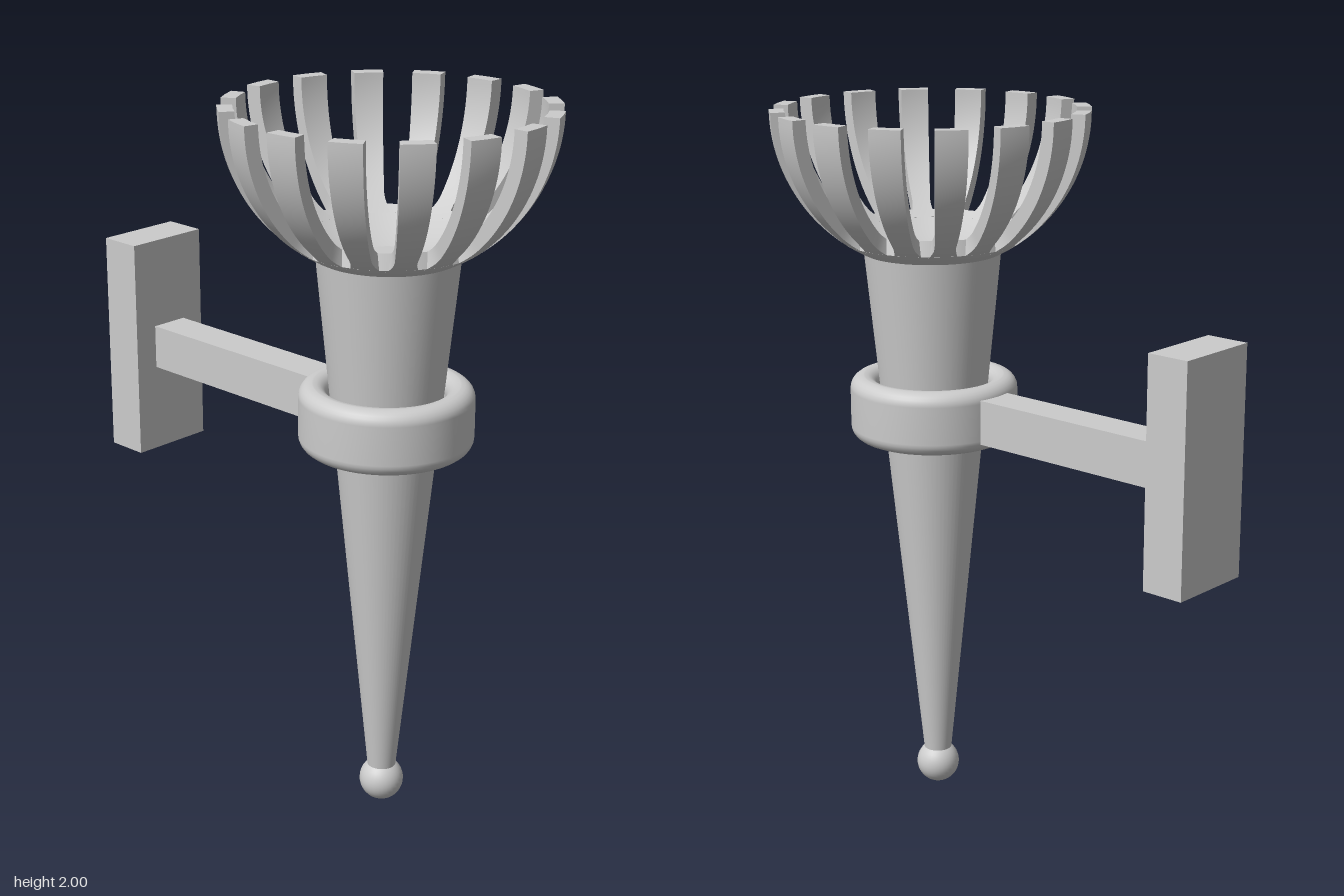
import * as THREE from 'three';

const material = new THREE.MeshStandardMaterial({ color: 0xcccccc });
const AXIS_Z = 0.27;               // the torch stands in front of its wall plate
const OUTER = 0.437, INNER = 0.397; // radii of the hemispherical basket shell
const RIBS = 16;

function add(parent, name, geometry, x = 0, y = 0, z = 0) {
  const mesh = new THREE.Mesh(geometry, material);
  mesh.name = name;
  mesh.position.set(x, y, z);
  parent.add(mesh);
  return mesh;
}

// Points along a sphere section, from polar angle a to b measured from straight down
function arc(radius, a, b, steps) {
  return Array.from({ length: steps + 1 }, (_, i) => {
    const t = a + (b - a) * i / steps;
    return new THREE.Vector2(radius * Math.sin(t), -radius * Math.cos(t));
  });
}

// Curved rib: a box bent onto the sphere shell, flared where it joins the bowl
function ribGeometry() {
  const geo = new THREE.BoxGeometry(1, 1, 1, 2, 24, 1);
  const p = geo.attributes.position;
  const start = THREE.MathUtils.degToRad(58);
  for (let i = 0; i < p.count; i++) {
    const u = p.getY(i) + 0.5;
    const flare = 1 + 0.9 * Math.max(0, 1 - u / 0.17) ** 2;
    const azimuth = p.getX(i) * (Math.PI / RIBS) * flare;
    const elevation = -start * (1 - u);
    const r = p.getZ(i) > 0 ? OUTER : INNER;
    const flat = r * Math.cos(elevation);
    p.setXYZ(i, flat * Math.sin(azimuth), r * Math.sin(elevation), flat * Math.cos(azimuth));
  }
  geo.computeVertexNormals();
  return geo;
}

// Collar section: a rounded rectangle spun round the stem
function collarGeometry() {
  const r0 = 0.158, r1 = 0.235, h = 0.09, c = 0.037;
  const pts = [];
  const corners = [[r1 - c, -h + c, -90], [r1 - c, h - c, 0], [r0 + c, h - c, 90], [r0 + c, -h + c, 180]];
  for (const [x, y, a] of corners) {
    for (let i = 0; i <= 6; i++) {
      const t = THREE.MathUtils.degToRad(a + i * 15);
      pts.push(new THREE.Vector2(x + c * Math.cos(t), y + c * Math.sin(t)));
    }
  }
  pts.push(pts[0].clone());
  return new THREE.LatheGeometry(pts, 64);
}

export function createModel() {
  const model = new THREE.Group();
  model.name = 'wallTorch';

  // Torch body
  const torch = new THREE.Group();
  torch.name = 'torch';
  torch.position.z = AXIS_Z;
  model.add(torch);
  add(torch, 'bottomKnob', new THREE.SphereGeometry(0.062, 32, 20), 0, 0.062);
  add(torch, 'stem', new THREE.CylinderGeometry(0.19, 0.04, 1.5, 64), 0, 0.86);
  add(torch, 'collar', collarGeometry(), 0, 1.168);

  // Basket: shallow bowl with a ring of upright ribs
  const basket = new THREE.Group();
  basket.name = 'basket';
  basket.position.y = 2;
  torch.add(basket);
  const outerEnd = Math.asin(0.247 / OUTER), innerEnd = Math.asin(0.236 / INNER);
  const outside = arc(OUTER, 0.4, outerEnd, 6);
  const inside = arc(INNER, innerEnd, 0, 14);
  add(basket, 'bowlOutside', new THREE.LatheGeometry(outside, 64));
  add(basket, 'bowlRim', new THREE.LatheGeometry([outside.at(-1), inside[0]], 64));
  add(basket, 'bowlInside', new THREE.LatheGeometry(inside, 64));
  const rib = ribGeometry();
  for (let i = 0; i < RIBS; i++) {
    add(basket, 'rib', rib).rotation.y = (i + 0.25) * 2 * Math.PI / RIBS;
  }

  // Wall bracket
  add(model, 'bracketArm', new THREE.BoxGeometry(0.11, 0.125, 0.655), 0, 1.168, -0.2625);
  add(model, 'wallPlate', new THREE.BoxGeometry(0.25, 0.63, 0.122), 0, 1.17, -0.646);

  return model;
}
